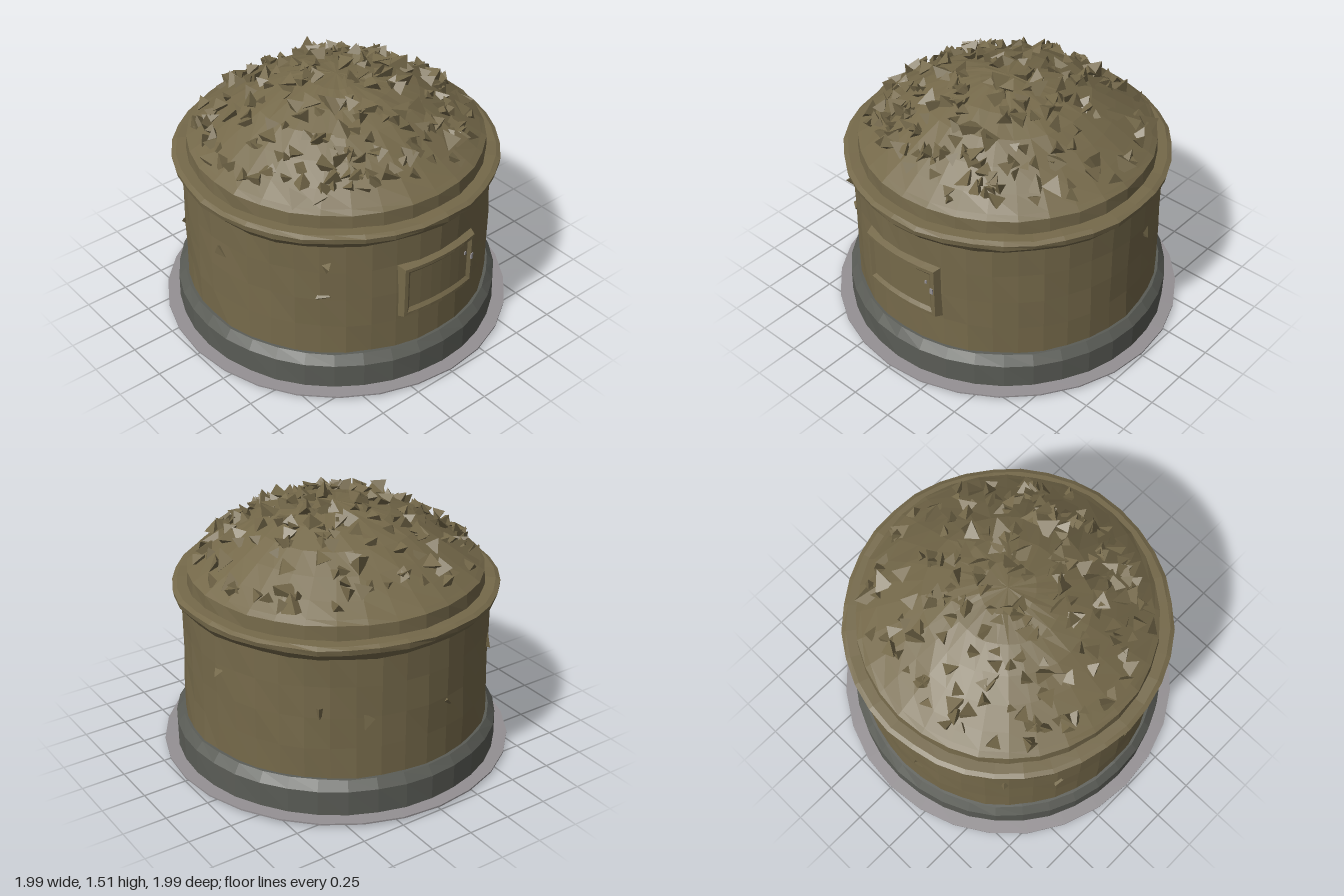
import * as THREE from 'three';
import { mergeGeometries } from 'three/addons/utils/BufferGeometryUtils.js';

const mat = (name, color) => {
  const m = new THREE.MeshStandardMaterial({ color, flatShading: true });
  m.name = name;
  return m;
};

function seeded(seed) {
  return () => {
    seed = (seed * 16807) % 2147483647;
    return seed / 2147483647;
  };
}

// Gentle hand-built unevenness, continuous around the axis
const wobble = (a, y) =>
  Math.sin(a * 5 + y * 7) * 0.4 + Math.sin(a * 11 - y * 13) * 0.35 + Math.sin(a * 17 + y * 29) * 0.25;

// Revolved profile, roughened by a rule
function revolve(profile, segments, rough, roughY = rough) {
  const g = new THREE.LatheGeometry(profile.map(([r, y]) => new THREE.Vector2(r, y)), segments);
  const p = g.attributes.position;
  for (let i = 0; i < p.count; i++) {
    const x = p.getX(i), y = p.getY(i), z = p.getZ(i);
    const r = Math.hypot(x, z);
    if (r < 0.001) continue;
    const a = Math.atan2(x, z);
    const k = 1 + rough * wobble(a, y) / r;
    p.setXYZ(i, x * k, y + roughY * wobble(a + 2, y * 3), z * k);
  }
  g.computeVertexNormals();
  return g;
}

const DOME = [[0.79, 1.11], [0.7, 1.17], [0.58, 1.25], [0.45, 1.33], [0.3, 1.39], [0.15, 1.425], [0, 1.435]];

function domeHeight(r) {
  for (let i = 1; i < DOME.length; i++) {
    const [r0, y0] = DOME[i - 1], [r1, y1] = DOME[i];
    if (r >= r1) return y0 + (y1 - y0) * (r0 - r) / (r0 - r1);
  }
  return 1.435;
}

// Jagged stone shard
function shard(rand, size, position) {
  const g = new THREE.TetrahedronGeometry(size);
  g.scale(0.7 + rand() * 0.7, 0.6 + rand() * 0.5, 0.7 + rand() * 0.7);
  g.rotateX(rand() * 6.28);
  g.rotateY(rand() * 6.28);
  g.rotateZ(rand() * 6.28);
  g.translate(...position);
  return g;
}

// Rubble scattered over the dome, thicker towards the front
function rubble() {
  const rand = seeded(4217), parts = [];
  while (parts.length < 230) {
    const r = 0.77 * Math.sqrt(rand()), a = rand() * Math.PI * 2;
    const z = r * Math.cos(a);
    if (rand() > 0.65 + z * 0.5) continue;
    const size = 0.035 + rand() * 0.033;
    parts.push(shard(rand, size, [r * Math.sin(a), domeHeight(r) + 0.012, z]));
  }
  for (const x of [-0.36, 0.36]) parts.push(shard(rand, 0.055, [x, 1.42, 0.1]));
  return mergeGeometries(parts);
}

// Chips standing out of the wall: [angle, height]
function wallChips() {
  const rand = seeded(911);
  const spots = [[-0.77, 0.6], [-0.75, 0.8], [1.74, 0.72], [2.45, 0.62], [2.75, 0.55],
    [3.3, 0.55], [3.9, 0.68], [4.25, 0.6], [4.8, 0.7]];
  return mergeGeometries(spots.map(([a, y]) =>
    shard(rand, 0.05, [0.85 * Math.sin(a), y, 0.85 * Math.cos(a)])));
}

// Hatch bent around the wall: nested rectangles joined into a raised frame
function hatchGeometry() {
  const steps = 6, pos = [], index = [];
  const rings = [[0, 0.84], [0.015, 0.888], [0.035, 0.888], [0.055, 0.872]];
  const put = (x, y, r) => pos.push(x, y, Math.sqrt(r * r - x * x * 0.8));
  for (const [inset, r] of rings) {
    const w = 0.26 - inset, y0 = 0.42 + inset, y1 = 0.76 - inset;
    for (let i = 0; i <= steps; i++) put(-w + 2 * w * i / steps, y0, r);
    for (let i = 0; i <= steps; i++) put(w - 2 * w * i / steps, y1, r);
  }
  const n = 2 * (steps + 1);
  for (let k = 0; k < rings.length - 1; k++) {
    for (let i = 0; i < n; i++) {
      const a = k * n + i, b = k * n + (i + 1) % n;
      index.push(a, b, b + n, a, b + n, a + n);
    }
  }
  // Sunken panel
  const s = (rings.length - 1) * n;
  for (let i = 0; i < steps; i++) {
    const a = s + i, b = a + 1, d = s + n - 1 - i, c = d - 1;
    index.push(a, b, c, a, c, d);
  }
  const g = new THREE.BufferGeometry();
  g.setAttribute('position', new THREE.Float32BufferAttribute(pos, 3));
  g.setIndex(index);
  g.computeVertexNormals();
  return g;
}

export function createModel() {
  const group = new THREE.Group();
  const earth = mat('olive earth', 0x75694a);
  const stone = mat('dark stone', 0x5a5c56);
  const pale = mat('pale grey', 0x949093);
  const add = (name, geometry, material) => {
    const mesh = new THREE.Mesh(geometry, material);
    mesh.name = name;
    group.add(mesh);
    return mesh;
  };

  // Ground slab and plinth
  add('groundSlab', revolve([[0, 0], [0.96, 0], [0.995, 0.015], [0.995, 0.024], [0.88, 0.028], [0, 0.028]], 28, 0.005, 0), pale);
  add('plinth', revolve([[0.92, 0.02], [0.92, 0.17], [0.88, 0.22], [0.84, 0.222]], 36, 0.004), stone);

  // Round wall, ledge and dome
  add('wall', revolve([[0.865, 0.2], [0.862, 0.4], [0.86, 0.58], [0.857, 0.76], [0.858, 0.95]], 40, 0.007, 0.004), earth);
  add('ledge', revolve([[0.84, 0.92], [0.862, 0.925], [0.9, 0.97], [0.905, 1.0], [0.88, 1.012], [0.8, 1.015]], 36, 0.007), earth);
  add('dome', revolve([[0.825, 1.0], [0.82, 1.09], ...DOME], 32, 0.006), earth);
  add('domeRubble', rubble(), earth);
  add('wallChips', wallChips(), earth);

  // Hatch with its small latch plates
  add('hatch', hatchGeometry(), earth);
  for (const [x, y, w, h] of [[0.23, 0.61, 0.016, 0.035], [0.185, 0.645, 0.012, 0.018]]) {
    const latch = add('latch', new THREE.BoxGeometry(w, h, 0.009), pale);
    latch.position.set(x, y, x > 0.2 ? 0.865 : 0.858);
    latch.rotation.y = x;
  }
  return group;
}
